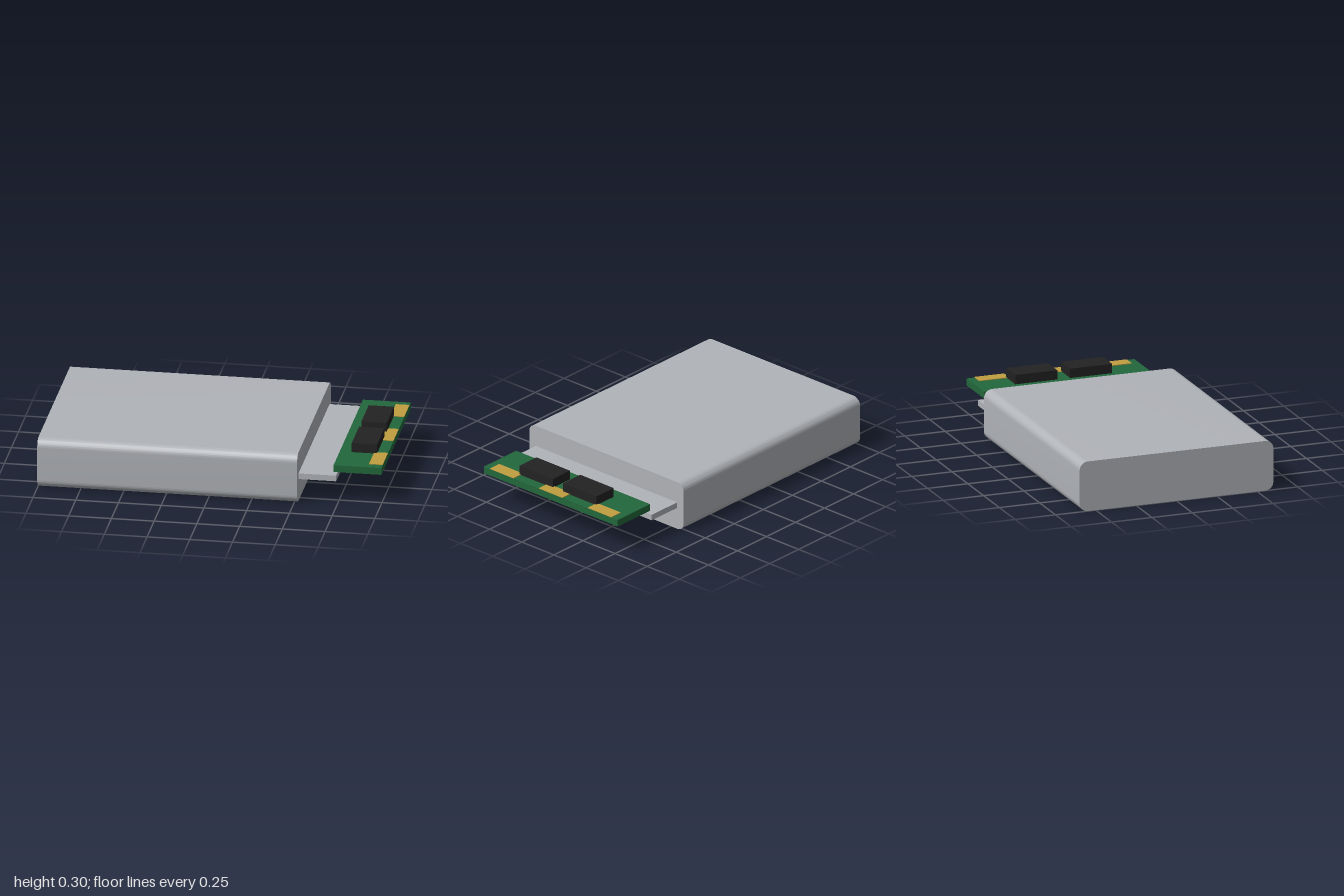
import * as THREE from 'three';
import { toCreasedNormals } from 'three/addons/utils/BufferGeometryUtils.js';

function material(name, color) {
  const m = new THREE.MeshStandardMaterial({ color });
  m.name = name;
  return m;
}

// Rounded rectangle centred on the origin
function roundedRect(w, h, r) {
  const x = w / 2 - r, y = h / 2 - r;
  const s = new THREE.Shape();
  s.absarc(x, y, r, 0, Math.PI / 2);
  s.absarc(-x, y, r, Math.PI / 2, Math.PI);
  s.absarc(-x, -y, r, Math.PI, Math.PI * 1.5);
  s.absarc(x, -y, r, Math.PI * 1.5, Math.PI * 2);
  s.closePath();
  return s;
}

export function createModel() {
  const group = new THREE.Group();
  group.name = 'batteryPack';

  const silver = material('silver', 0xb0b3b8);
  const green = material('boardGreen', 0x23683c);
  const black = material('chipBlack', 0x222222);
  const gold = material('contactGold', 0xc09f40);

  // Box given by its lower and upper limits on each axis
  function box(name, mat, [x0, x1], [y0, y1], [z0, z1]) {
    const mesh = new THREE.Mesh(new THREE.BoxGeometry(x1 - x0, y1 - y0, z1 - z0), mat);
    mesh.position.set((x0 + x1) / 2, (y0 + y1) / 2, (z0 + z1) / 2);
    mesh.name = name;
    group.add(mesh);
  }

  // Cell body: rounded section extruded along x, flat ends
  const section = new THREE.ExtrudeGeometry(roundedRect(1.2, 0.3, 0.05), {
    depth: 1.52, bevelEnabled: false, curveSegments: 12,
  });
  section.rotateY(Math.PI / 2);
  const body = new THREE.Mesh(toCreasedNormals(section, 0.5), silver);
  body.position.set(-1, 0.15, 0);
  body.name = 'cellBody';
  group.add(body);

  // Sealed lip at the end of the cell
  box('sealedLip', silver, [0.52, 0.74], [0.135, 0.17], [-0.55, 0.55]);

  // Protection circuit board
  box('circuitBoard', green, [0.72, 1], [0.18, 0.222], [-0.52, 0.52]);

  // Terminal tabs and chips, one of each on either side
  for (const s of [-1, 1]) {
    const side = s > 0 ? 'Front' : 'Back';
    box('terminalTab' + side, silver, [0.74, 0.86], [0.149, 0.157], [s * 0.28 - 0.1, s * 0.28 + 0.1]);
    box('chip' + side, black, [0.79, 0.938], [0.222, 0.278], [s * 0.17 - 0.13, s * 0.17 + 0.13]);
  }

  // Gold contacts along the outer edge
  for (const z of [-0.38, 0, 0.38]) {
    box('contactPad', gold, [0.92, 1], [0.222, 0.226], [z - 0.092, z + 0.092]);
  }

  return group;
}
